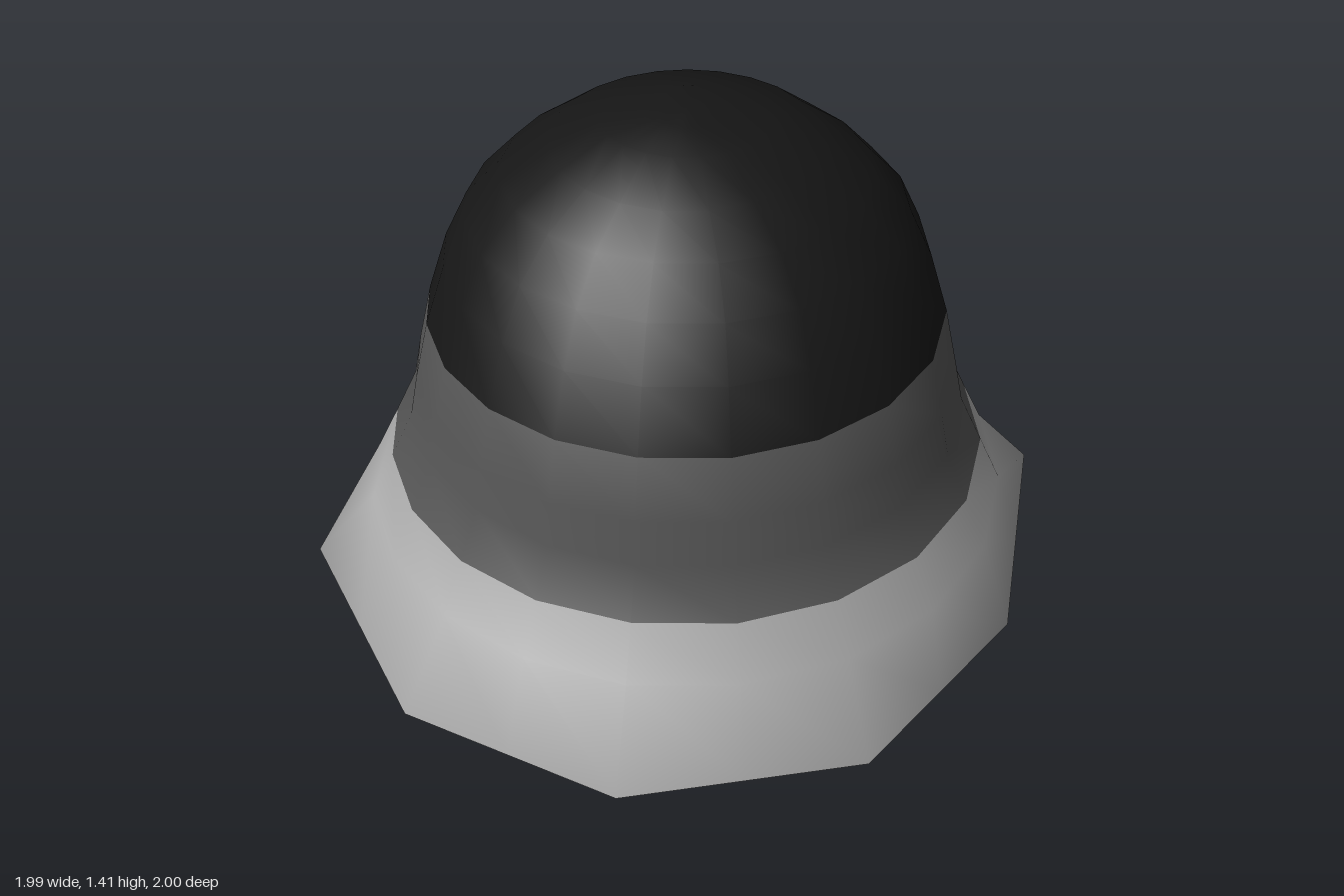
import * as THREE from 'three';

// Rim corners of the flared brim: x, y, z, going round from the back
const RIM = [
  [-0.28, 0.24, -1], [0.2, 0.2, -0.98], [0.67, 0.15, -0.79], [0.99, 0.18, -0.27],
  [0.89, 0.1, 0.36], [0.5, 0.09, 0.86], [-0.12, 0.09, 1], [-0.68, 0.1, 0.76],
  [-1, 0.18, 0.24], [-0.89, 0.12, -0.28], [-0.73, 0.15, -0.73],
];

// Cross-sections above and below the rim: height, half width, front depth, back depth
const UPPER = [
  [1.41, 0, -0.085, 0.085], [1.41, 0.07, 0.03, 0.2], [1.38, 0.22, 0.12, 0.29],
  [1.32, 0.35, 0.27, 0.46], [1.23, 0.48, 0.36, 0.57], [1.12, 0.58, 0.45, 0.68],
  [1.0, 0.64, 0.54, 0.74], [0.85, 0.69, 0.62, 0.755], [0.7, 0.725, 0.68, 0.77],
  [0.56, 0.755, 0.68, 0.82], [0.42, 0.82, 0.735, 0.89], [0.3, 0.88, 0.83, 0.96],
];
const LOWER = [
  [0.08, 0.89, 0.9, 0.88], [0.035, 0.61, 0.75, 0.6], [0, 0.21, 0.5, 0.27], [0, 0, 0.11, -0.11],
];

// Rim corners plus the midpoints between them give the columns
function rimColumns() {
  const columns = [];
  RIM.forEach((p, i) => {
    const a = new THREE.Vector3(...p);
    const b = new THREE.Vector3(...RIM[(i + 1) % RIM.length]);
    columns.push(a, a.clone().lerp(b, 0.5));
  });
  return columns;
}

// An oval ring with one vertex for each column
function ovalRing([y, half, front, back], columns) {
  const cz = (front - back) / 2;
  const depth = (front + back) / 2;
  return columns.map((p) => {
    const t = Math.atan2(p.z, p.x);
    return new THREE.Vector3(half * Math.cos(t), y, cz + depth * Math.sin(t));
  });
}

export function createModel() {
  const group = new THREE.Group();
  const columns = rimColumns();
  const n = columns.length;
  const rings = [
    ...UPPER.map((s) => ovalRing(s, columns)),
    columns,
    ...LOWER.map((s) => ovalRing(s, columns)),
  ];

  // Faces between two rows of rings, leaving out the collapsed ones at the poles
  const band = (from, to) => {
    const index = [];
    for (let r = from; r < to; r++) {
      for (let c = 0; c < n; c++) {
        const a = r * n + c, b = r * n + ((c + 1) % n);
        if (r > 0) index.push(a, b, a + n);
        if (r < rings.length - 2) index.push(b, b + n, a + n);
      }
    }
    // Close the two poles on a single shared vertex
    const last = (rings.length - 1) * n;
    return index.map((i) => (i < n ? 0 : i >= last ? last : i));
  };

  // One smooth surface, so the shading runs on from part to part
  const shell = new THREE.BufferGeometry().setFromPoints(rings.flat());
  shell.setIndex(band(0, rings.length - 1));
  shell.computeVertexNormals();

  const addPart = (name, from, to, color) => {
    const geometry = new THREE.BufferGeometry();
    geometry.setAttribute('position', shell.attributes.position);
    geometry.setAttribute('normal', shell.attributes.normal);
    geometry.setIndex(band(from, to));
    const mesh = new THREE.Mesh(geometry, new THREE.MeshStandardMaterial({ color }));
    mesh.name = name;
    group.add(mesh);
  };

  const rim = UPPER.length;
  addPart('crown', 0, 7, 0x161616);
  addPart('wall', 7, 10, 0x555555);
  addPart('brim', 10, rim, 0xaaaaaa);
  addPart('underside', rim, rings.length - 1, 0x666666);
  return group;
}
